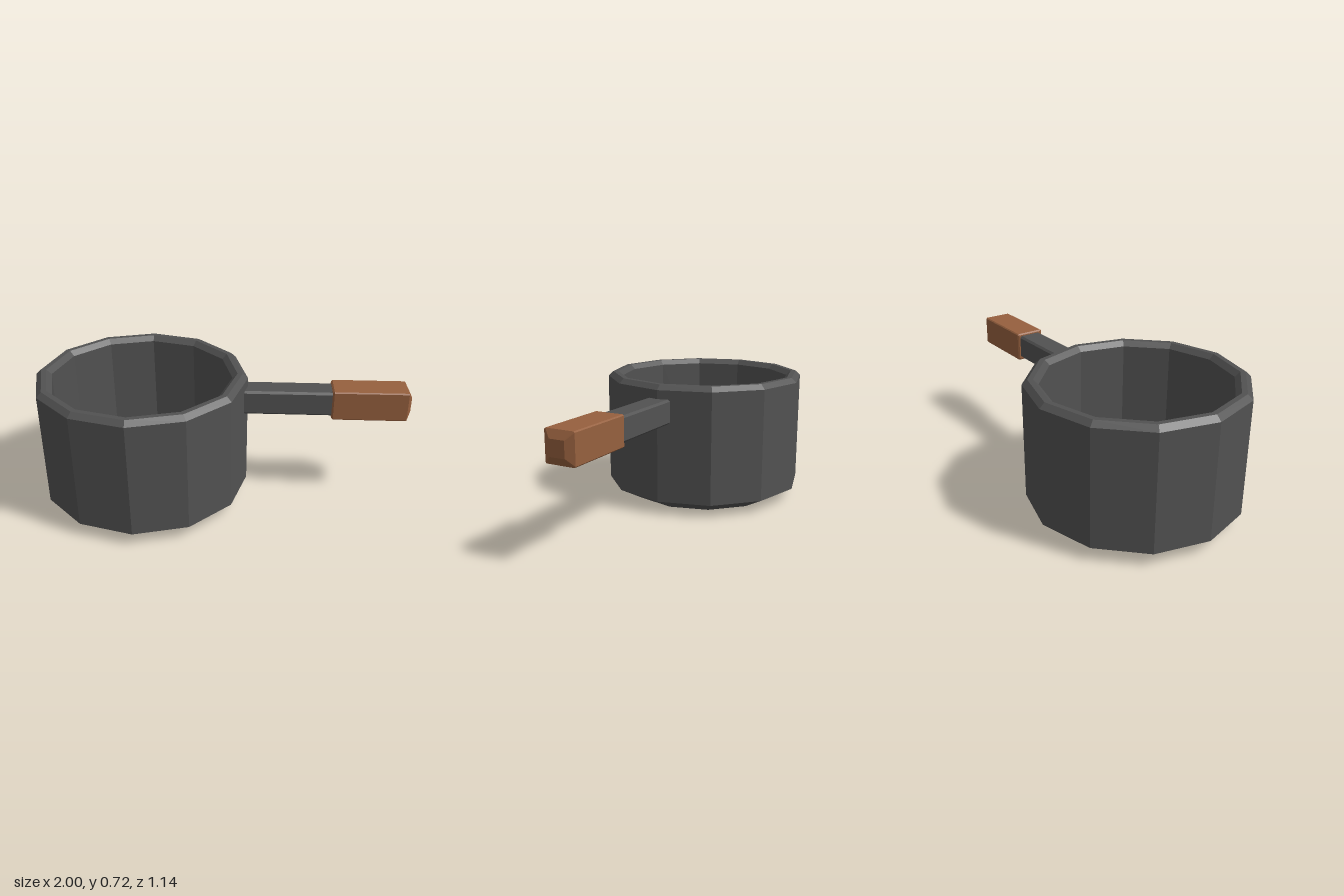
import * as THREE from 'three';

// Lofts square sections with chamfered corners along x: [x, halfSize, chamfer]
function squareLoft(sections) {
  const positions = [];
  const rings = sections.map(([x, h, c]) => {
    const k = h - c;
    return [[h, -k], [h, k], [k, h], [-k, h], [-h, k], [-h, -k], [-k, -h], [k, -h]]
      .map(([y, z]) => [x, y, z]);
  });
  const tri = (a, b, c) => positions.push(...a, ...b, ...c);
  for (let s = 0; s < rings.length - 1; s++) {
    const a = rings[s], b = rings[s + 1];
    for (let i = 0; i < 8; i++) {
      const j = (i + 1) % 8;
      tri(a[i], a[j], b[j]);
      tri(a[i], b[j], b[i]);
    }
  }
  // end caps
  const first = rings[0], last = rings[rings.length - 1];
  for (let i = 1; i < 7; i++) {
    tri(first[0], first[i + 1], first[i]);
    tri(last[0], last[i], last[i + 1]);
  }
  const geometry = new THREE.BufferGeometry();
  geometry.setAttribute('position', new THREE.Float32BufferAttribute(positions, 3));
  geometry.computeVertexNormals();
  return geometry;
}

export function createModel() {
  const model = new THREE.Group();
  model.name = 'saucepan';
  const metal = new THREE.MeshStandardMaterial({ color: 0x525252, flatShading: true });
  const wood = new THREE.MeshStandardMaterial({ color: 0x96603e, flatShading: true });

  const add = (name, geometry, material, x, y) => {
    const mesh = new THREE.Mesh(geometry, material);
    mesh.name = name;
    mesh.position.set(x, y, 0);
    model.add(mesh);
  };

  // twelve-sided pot: bevelled base, outer wall, bevelled rim, inner wall and floor
  const profile = [
    [0, 0], [0.43, 0], [0.568, 0.072], [0.568, 0.692], [0.54, 0.718],
    [0.512, 0.718], [0.485, 0.692], [0.485, 0.07], [0, 0.07],
  ].map(([r, y]) => new THREE.Vector2(r, y));
  add('pot', new THREE.LatheGeometry(profile, 12), metal, -0.432, 0);

  // metal shaft, set into the pot wall
  add('handleShaft', squareLoft([[0.09, 0.067, 0.011], [0.6, 0.067, 0.011]]), metal, 0, 0.577);

  // wooden grip with a tapered end
  add('handleGrip', squareLoft([
    [0.582, 0.074, 0.006], [0.59, 0.081, 0.006], [0.977, 0.081, 0.006], [1, 0.041, 0.002],
  ]), wood, 0, 0.576);

  return model;
}
